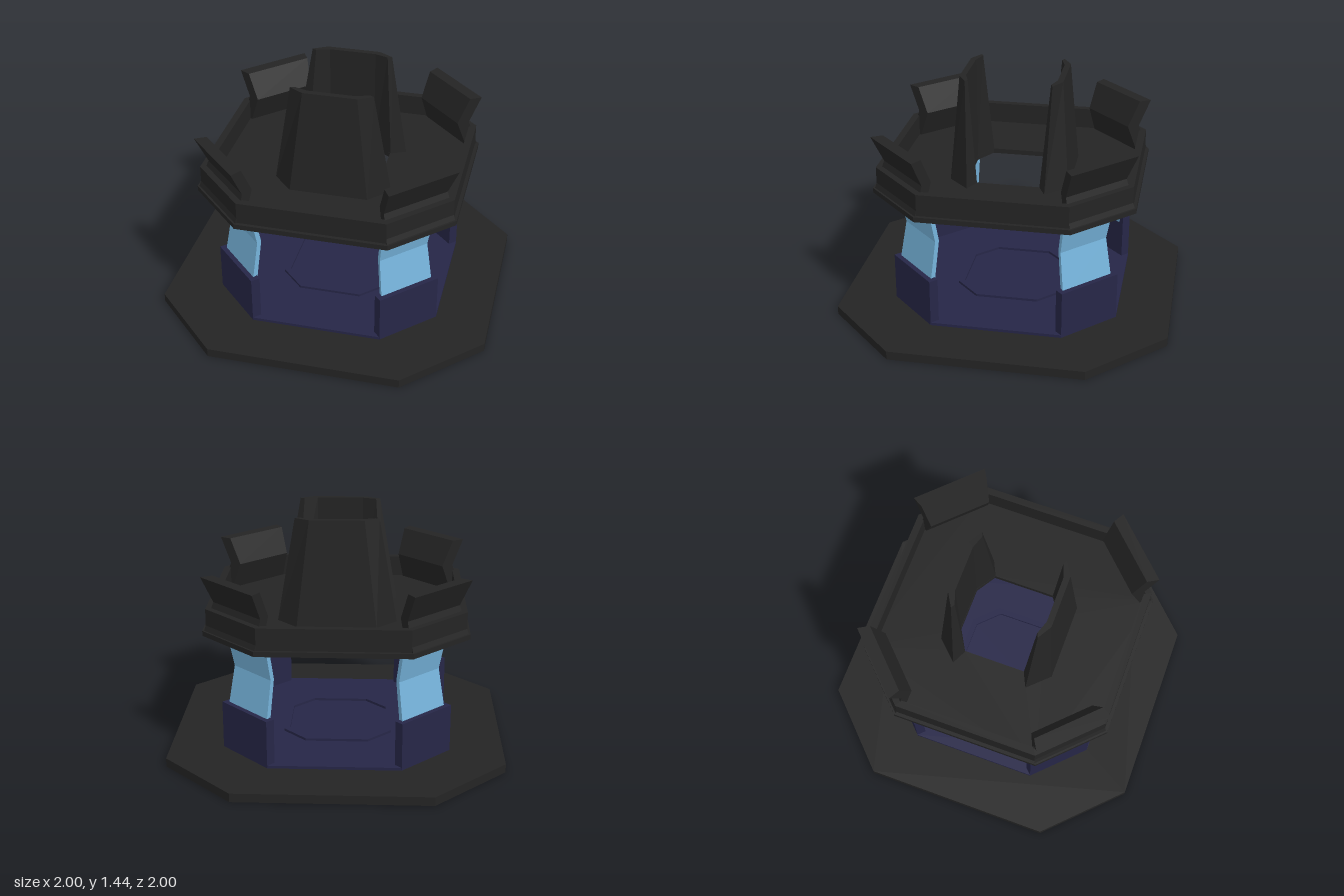
import * as THREE from 'three';

const material = (color) => new THREE.MeshStandardMaterial({ color, flatShading: true, side: THREE.DoubleSide });
const CUT = 0.572; // where each octagon side ends, as a share of its half width

// Octagon outline with half width r; c and rz allow uneven ones
function octagon(r, c = r * CUT, rz = r, cz = c) {
  return [[r, -cz], [r, cz], [c, rz], [-c, rz], [-r, cz], [-r, -cz], [-c, -rz], [c, -rz]]
    .map(([x, z]) => new THREE.Vector2(x, z));
}

// Flat plate between two heights, with an optional hole
function plate(outline, y0, y1, hole) {
  const shape = new THREE.Shape(outline);
  if (hole) shape.holes.push(new THREE.Path(hole));
  const geometry = new THREE.ExtrudeGeometry(shape, { depth: y1 - y0, bevelEnabled: false });
  return geometry.rotateX(-Math.PI / 2).translate(0, y0, 0);
}

// Solid through matching [x, z] cross-sections stacked from bottom to top
function loft(sections) {
  const rings = sections.map(({ y, points }) => {
    const ring = points.map(([x, z]) => new THREE.Vector2(x, z));
    if (THREE.ShapeUtils.isClockWise(ring)) ring.reverse();
    return { y, ring };
  });
  const n = rings[0].ring.length, pos = [], index = [];
  for (const { y, ring } of rings) for (const p of ring) pos.push(p.x, y, p.y);
  for (let s = 0; s < rings.length - 1; s++) {
    for (let i = 0; i < n; i++) {
      const a = s * n + i, b = s * n + (i + 1) % n;
      index.push(a, a + n, b, b, a + n, b + n);
    }
  }
  const top = (rings.length - 1) * n;
  for (const [a, b, c] of THREE.ShapeUtils.triangulateShape(rings[0].ring, [])) index.push(a, b, c);
  for (const [a, b, c] of THREE.ShapeUtils.triangulateShape(rings[rings.length - 1].ring, [])) {
    index.push(top + a, top + c, top + b);
  }
  const geometry = new THREE.BufferGeometry();
  geometry.setAttribute('position', new THREE.Float32BufferAttribute(pos, 3));
  geometry.setIndex(index);
  const flat = geometry.toNonIndexed();
  flat.computeVertexNormals();
  return flat;
}

// Corner piece across an octagon's diagonal side: rows of [y, outer, inner]
function cornerPiece(rows, ratio = CUT) {
  return loft(rows.map(([y, o, i]) => ({
    y, points: [[o, o * ratio], [o * ratio, o], [i * ratio, i], [i, i * ratio]],
  })));
}

export function createModel() {
  const model = new THREE.Group();
  const black = material(0x242424), navy = material(0x262647), blue = material(0x76b4dc);
  const add = (name, geometry, mat, parent = model) => {
    const mesh = new THREE.Mesh(geometry, mat);
    mesh.name = name;
    parent.add(mesh);
    return mesh;
  };

  // Base and floor
  add('base', plate(octagon(1), 0, 0.053), black);
  add('floor', plate(octagon(0.68), 0.053, 0.07), navy);
  add('floorRing', plate(octagon(0.33), 0.07, 0.085, octagon(0.295)), navy);

  // Raised deck with a central opening and a rim
  const opening = octagon(0.26, 0.14, 0.265, 0.19);
  add('deck', plate(octagon(0.775), 0.78, 0.81, opening), black);
  add('deckRim', plate(octagon(0.755), 0.81, 0.94, octagon(0.712)), black);

  // Four corners: pedestal, bent leg and flared bracket
  const pedestal = loft([0.053, 0.345].map((y) => ({
    y, points: [[0.68, 0.39], [0.39, 0.68], [0.35, 0.64], [0.64, 0.35]],
  })));
  const leg = cornerPiece([[0.3, 0.645, 0.615], [0.57, 0.602, 0.575], [0.79, 0.642, 0.615]], 0.61);
  const bracket = cornerPiece([[0.78, 0.775, 0.71], [0.975, 0.71, 0.645], [1.135, 0.775, 0.71]]);
  for (let k = 0; k < 4; k++) {
    const corner = new THREE.Group();
    corner.name = 'corner' + (k + 1);
    corner.rotation.y = k * Math.PI / 2;
    add('pedestal', pedestal, navy, corner);
    add('leg', leg, blue, corner);
    add('bracket', bracket, black, corner);
    model.add(corner);
  }

  // Two tapering towers with wings folded around the opening
  const wrap = (half) => [...half, ...half.map(([x, z]) => [-x, z]).reverse()];
  const section = (y, tip, fold, innerTip, innerFold) => {
    const outer = wrap([tip, fold]);
    const inner = wrap([innerTip, innerFold]).reverse();
    return { y, points: [...outer, ...inner] };
  };
  const tower = loft([
    section(0.8, [0.355, 0.23], [0.235, 0.355], [0.265, 0.187], [0.14, 0.267]),
    section(1.44, [0.245, 0.255], [0.16, 0.305], [0.22, 0.243], [0.14, 0.27]),
  ]);
  add('frontTower', tower, black);
  add('backTower', tower, black).rotation.y = Math.PI;

  return model;
}
